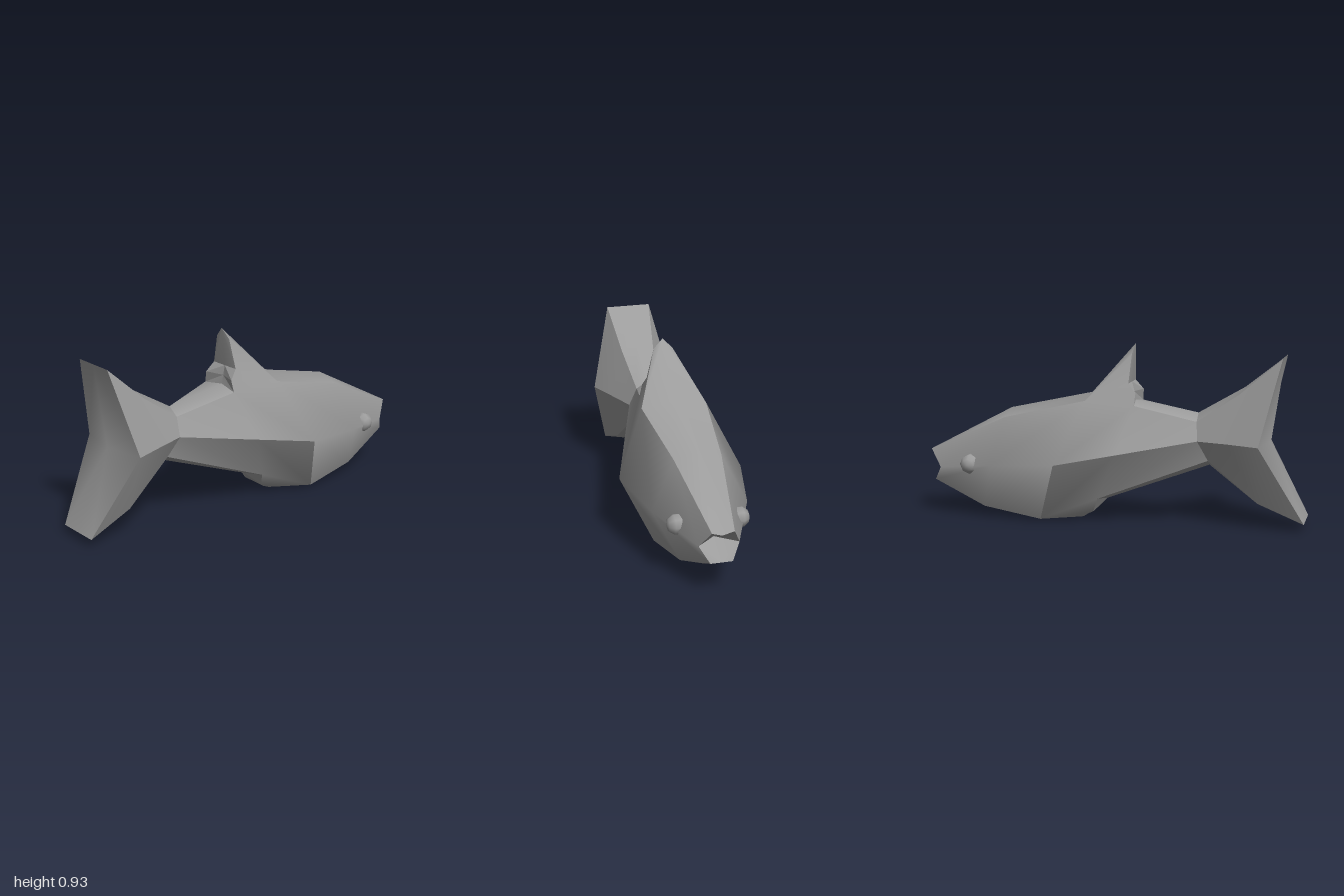
import * as THREE from 'three';
import { mergeGeometries, toCreasedNormals } from 'three/addons/utils/BufferGeometryUtils.js';

const material = new THREE.MeshStandardMaterial({ color: 0x9c9c9c });

// Columns a to b of every cross-section
const columns = (rows, a, b) => rows.map((row) => row.slice(a, b + 1));

// One patch: skin strips of points on the +z half, mirror them to -z, smooth within the patch.
function patch(strips, crease = 3) {
  const pos = [];
  const v = (p) => new THREE.Vector3(...p);
  const tri = (a, b, c) => {
    const area = v(b).sub(v(a)).cross(v(c).sub(v(a))).length();
    if (area < 1e-6) return;
    pos.push(...a, ...b, ...c);
    for (const [x, y, z] of [a, c, b]) pos.push(x, y, -z);
  };
  for (const rows of strips) {
    for (let i = 0; i < rows.length - 1; i++) {
      for (let j = 0; j < rows[i].length - 1; j++) {
        const a = rows[i][j], b = rows[i][j + 1];
        const c = rows[i + 1][j + 1], d = rows[i + 1][j];
        tri(a, b, c);
        tri(a, c, d);
      }
    }
  }
  const geometry = new THREE.BufferGeometry();
  geometry.setAttribute('position', new THREE.Float32BufferAttribute(pos, 3));
  return toCreasedNormals(geometry, crease);
}

// Patches meet along hard edges.
function part(name, patches) {
  const mesh = new THREE.Mesh(mergeGeometries(patches), material);
  mesh.name = name;
  return mesh;
}

export function createModel() {
  const fish = new THREE.Group();
  fish.name = 'fish';

  // Half cross-sections: top ridge, shoulder, flank, belly edge, keel
  const nose = [[0.98, 0.322, 0], [0.995, 0.345, 0.055], [0.93, 0.255, 0.1], [0.975, 0.18, 0.055], [0.975, 0.18, 0]];
  const cheek = [[0.56, 0.575, 0], [0.56, 0.54, 0.12], [0.61, 0.3, 0.24], [0.68, 0.06, 0.12], [0.69, 0.03, 0]];
  const girth = [[0.12, 0.67, 0], [0.12, 0.645, 0.17], [0.25, 0.33, 0.32], [0.36, 0.017, 0.17], [0.36, 0.003, 0]];
  const waist = [[-0.11, 0.635, 0], [-0.125, 0.62, 0.12], [-0.05, 0.379, 0.226], [0.07, 0.125, 0.11], [0.04, 0.11, 0]];
  const stem = [[-0.44, 0.58, 0], [-0.44, 0.54, 0.06], [-0.45, 0.445, 0.1], [-0.5, 0.34, 0.06], [-0.5, 0.31, 0]];
  const fan = [[-0.68, 0.72, 0], [-0.66, 0.69, 0.09], [-0.61, 0.447, 0.163], [-0.76, 0.14, 0.1], [-0.75, 0.115, 0]];
  const tips = [[-0.88, 0.878, 0], [-0.88, 0.878, 0.12], [-0.775, 0.445, 0.225], [-1, 0.045, 0.12], [-1, 0.045, 0]];
  const head = [girth, cheek, nose];
  const rear = [stem, waist];
  const tail = [tips, fan, stem];

  // Fins swept back out of the body: rear outlines and their centre lines
  const dorsal = [[-0.1, 0.88, 0.05], [-0.09, 0.73, 0.09], [-0.13, 0.68, 0.105], waist[1]];
  const dorsalCentre = [[-0.11, 0.93, 0], [-0.09, 0.73, 0], [-0.1, 0.68, 0], waist[0]];
  const ventral = [waist[3], [0.1, 0.05, 0.07], [0.17, 0.012, 0.045]];
  const ventralCentre = [waist[4], [0.1, 0.05, 0], [0.17, 0.004, 0]];
  const [ridge, shoulder, flank, belly, keel] = girth;
  const fins = [
    [dorsalCentre[0], ...dorsal, waist[2], ...ventral, ventralCentre[2]],
    [ridge, shoulder, shoulder, shoulder, shoulder, flank, belly, belly, belly, keel],
  ];

  fish.add(part('bodyWithFins', [
    patch([columns(fins, 0, 1), columns(head, 0, 1)]), // back, fin tip to nose
    patch([columns(rear, 1, 2), columns(fins, 1, 5), columns(head, 1, 3)]), // sides
    patch([columns(rear, 2, 3), columns(fins, 5, 8)]), // lower rear sides
    patch([columns(head, 3, 4)]), // chin
    patch([columns(fins, 8, 9)]), // ventral fin underside
    patch([columns(rear, 0, 1)]), // top behind the dorsal fin
    patch([columns(rear, 3, 4)]), // underside behind the ventral fin
    patch([[dorsalCentre, dorsal], [ventralCentre, ventral]], 0.3), // fin rears
  ]));

  // Open mouth, deepest in the middle
  const lips = nose.slice(1, 4);
  const throat = [nose[0], [0.84, 0.252, 0], nose[4]];
  fish.add(part('mouth', [
    patch([columns([lips, throat], 0, 1)]),
    patch([columns([lips, throat], 1, 2)]),
  ]));

  // Forked tail with a wedge-shaped trailing face
  const trailing = [tips[0], [-0.815, 0.445, 0], tips[4]];
  fish.add(part('tailFin', [
    ...[0, 1, 2, 3].map((c) => patch([columns(tail, c, c + 1)])),
    patch([[trailing, tips.slice(1, 4)]]),
  ]));

  // Eyes
  for (const side of [1, -1]) {
    const eye = new THREE.Mesh(new THREE.SphereGeometry(0.054, 8, 5), material);
    eye.name = side > 0 ? 'frontEye' : 'backEye';
    eye.rotation.x = side * Math.PI / 2;
    eye.position.set(0.745, 0.29, side * 0.154);
    fish.add(eye);
  }
  return fish;
}
